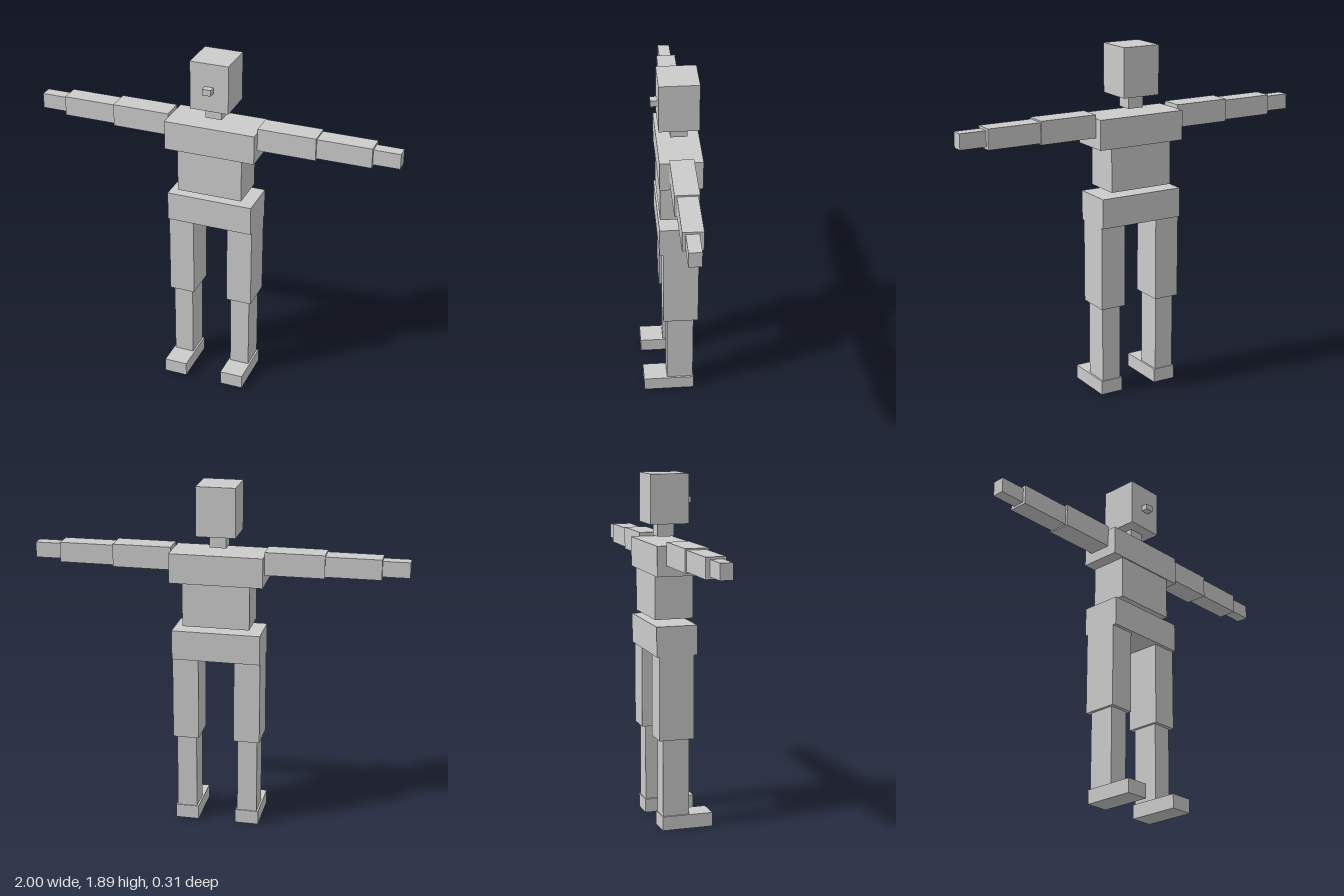
import * as THREE from 'three';

const material = new THREE.MeshStandardMaterial({ color: 0xcccccc, flatShading: true });

// Box spanning the given ranges on each axis
function block(name, [x0, x1], [y0, y1], [z0, z1]) {
  const mesh = new THREE.Mesh(new THREE.BoxGeometry(x1 - x0, y1 - y0, z1 - z0), material);
  mesh.position.set((x0 + x1) / 2, (y0 + y1) / 2, (z0 + z1) / 2);
  mesh.name = name;
  return mesh;
}

export function createModel() {
  const model = new THREE.Group();
  model.name = 'blockFigure';

  // Head and torso, centred on x = 0
  const core = [
    ['head', 0.105, [1.632, 1.895], [-0.149, 0.06]],
    ['nose', 0.024, [1.735, 1.768], [0.06, 0.097]],
    ['neck', 0.045, [1.562, 1.632], [-0.093, -0.003]],
    ['chest', 0.25, [1.375, 1.535], [-0.157, 0.067]],
    ['abdomen', 0.18, [1.14, 1.375], [-0.149, 0.06]],
    ['hips', 0.238, [0.952, 1.112], [-0.157, 0.067]],
  ];
  for (const [name, half, y, z] of core) model.add(block(name, [-half, half], y, z));

  // Arm and leg segments, given for the +x side and mirrored
  const limbs = {
    Arm: [
      ['upperArm', [0.25, 0.565], [1.433, 1.556], [-0.108, 0.017]],
      ['forearm', [0.565, 0.857], [1.44, 1.548], [-0.1, 0.005]],
      ['hand', [0.857, 1], [1.453, 1.536], [-0.078, -0.012]],
    ],
    Leg: [
      ['thigh', [0.097, 0.238], [0.498, 0.952], [-0.142, 0.048]],
      ['shin', [0.114, 0.222], [0.077, 0.498], [-0.118, 0.027]],
      ['foot', [0.104, 0.232], [0, 0.077], [-0.123, 0.157]],
    ],
  };
  for (const [side, s] of [['left', 1], ['right', -1]]) {
    for (const [limb, parts] of Object.entries(limbs)) {
      const group = new THREE.Group();
      group.name = side + limb;
      for (const [name, x, y, z] of parts) {
        const part = block(name, x, y, z);
        part.position.x *= s;
        group.add(part);
      }
      model.add(group);
    }
  }
  return model;
}
